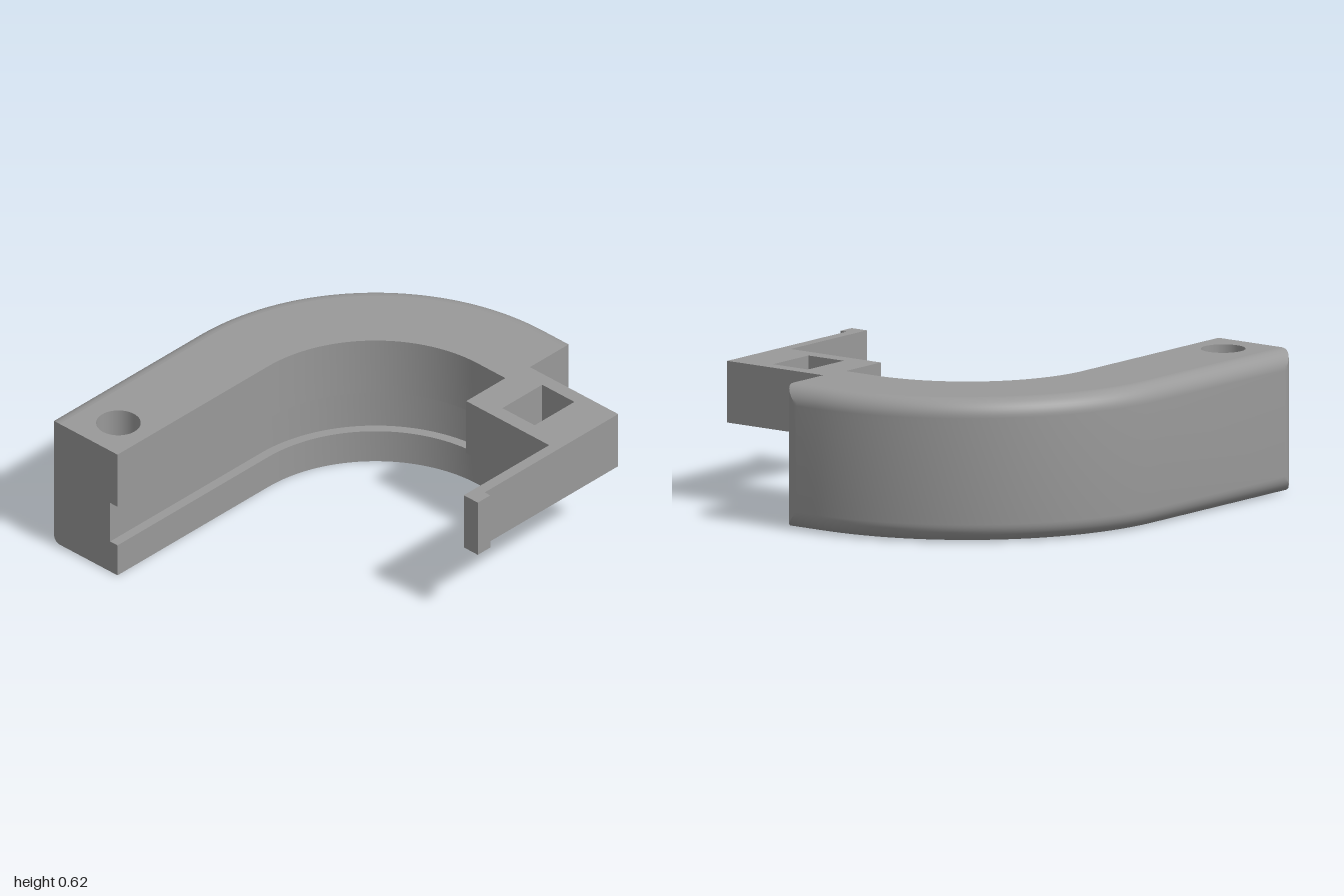
import * as THREE from 'three';
import { toCreasedNormals } from 'three/addons/utils/BufferGeometryUtils.js';

const H = 0.625, W = 0.424, F = 0.08;          // height, wall width, outer edge rounding
const CX = -0.06, CZ = 0.16, R = 0.636;        // centre and radius of the inner bend
const END_X = -1, END_Z = 0.343;               // where the two ends stop
const N = 10, BEND = 56;
const HOLE = { x: -0.82, z: -0.642, r: 0.096 };

const fillet = Array.from({ length: N + 1 }, (_, i) => {
  const a = (i / N) * Math.PI / 2;
  return [F * Math.sin(a), F * Math.cos(a)];
});

// Cross-section as [u, y]; u runs from the inner face outwards
const outer = [
  ...fillet.map(([s, c]) => [W - F + s, H - F + c]),
  ...fillet.slice().reverse().map(([s, c]) => [W - F + s, F - c]),
];
const inner = [[0, 0], [0, 0.155], [0.044, 0.155], [0.044, 0.355], [0, 0.355], [0, H]];

// Stations along the inner face: position, outward direction, and how far out the wall may reach
function makeStations() {
  const list = [];
  for (const [s, c] of fillet) list.push({ x: END_X + F - c, z: CZ - R, nx: 0, nz: -1, max: W - F + s });
  for (let i = 0; i <= BEND; i++) {
    const a = (i / BEND - 1) * Math.PI / 2, nx = Math.cos(a), nz = Math.sin(a);
    list.push({ x: CX + R * nx, z: CZ + R * nz, nx, nz, max: W });
  }
  for (const [s, c] of fillet.slice().reverse())
    list.push({ x: CX + R, z: END_Z - F + c, nx: 1, nz: 0, max: W - F + s });
  return list;
}

// Sweep an open profile along the stations
function sweep(profile, stations) {
  const pos = [];
  const u = (s, p) => Math.min(p[0], s.max);
  const point = (s, p) => [s.x + s.nx * u(s, p), p[1], s.z + s.nz * u(s, p)];
  for (let i = 0; i < stations.length - 1; i++) {
    for (let j = 0; j < profile.length - 1; j++) {
      const s = stations[i], t = stations[i + 1], p = profile[j], q = profile[j + 1];
      const a = point(s, p), b = point(s, q), c = point(t, p), d = point(t, q);
      // split each quad along the mitre
      const alongAD = Math.abs(u(s, p) - u(t, q)) > Math.abs(u(s, q) - u(t, p));
      const tris = alongAD ? [a, c, d, a, d, b] : [a, c, b, b, c, d];
      for (const v of tris) pos.push(...v);
    }
  }
  const g = new THREE.BufferGeometry();
  g.setAttribute('position', new THREE.Float32BufferAttribute(pos, 3));
  return toCreasedNormals(g, 0.4);
}

const shapeOf = (pts) => new THREE.Shape(pts.map(([x, y]) => new THREE.Vector2(x, y)));

// Flat face of the wall with the round hole; sign -1 faces up, +1 faces down
function flatFace(stations, sign) {
  const edge = (d) => stations.map((s) => [s.x + s.nx * d, sign * (s.z + s.nz * d)]);
  const shape = shapeOf([...edge(0), ...edge(W - F).reverse()]);
  shape.holes.push(new THREE.Path().absarc(HOLE.x, sign * HOLE.z, HOLE.r, 0, Math.PI * 2, true));
  return new THREE.ShapeGeometry(shape, 24).rotateX(sign * Math.PI / 2);
}

export function createModel() {
  const model = new THREE.Group();
  const grey = new THREE.MeshStandardMaterial({ color: 0x999999, side: THREE.DoubleSide });
  grey.name = 'grey';
  const add = (name, geometry, parent) => {
    const mesh = new THREE.Mesh(geometry, grey);
    mesh.name = name;
    parent.add(mesh);
    return mesh;
  };

  // Curved wall with a groove along its inner face
  const wall = new THREE.Group();
  wall.name = 'curvedWall';
  model.add(wall);
  const stations = makeStations();
  add('outerFace', sweep(outer, stations), wall);
  add('groovedInnerFace', sweep(inner, stations), wall);
  add('topFace', flatFace(stations, -1), wall).position.y = H;
  add('bottomFace', flatFace(stations, 1), wall);

  // End faces
  const section = [...inner, [W - F, H], [W - F, 0]];
  const leftEnd = shapeOf(section.map(([u, y]) => [CZ - R - u, y]));
  add('armEnd', new THREE.ShapeGeometry(leftEnd).rotateY(-Math.PI / 2), wall).position.x = END_X;
  const frontEnd = shapeOf(section.map(([u, y]) => [CX + R + u, y]));
  add('frontEnd', new THREE.ShapeGeometry(frontEnd), wall).position.z = END_Z;

  // Round hole through the arm
  const bore = new THREE.CylinderGeometry(HOLE.r, HOLE.r, H, 48, 1, true);
  add('roundHole', bore, wall).position.set(HOLE.x, H / 2, HOLE.z);

  // Bracket with a square hole and a thin hooked arm, plan drawn as [x, z]
  const plan = [
    [0.332, 0.325], [CX + R, 0.325], [CX + R, END_Z], [0.71, END_Z], [0.71, 0.867],
    [-0.122, 0.867], [-0.122, 0.9], [-0.2, 0.9], [-0.2, 0.817], [0.332, 0.817],
  ];
  const bracket = shapeOf(plan.map(([x, z]) => [x, -z]));
  const slot = [[0.4, 0.475], [0.4, 0.666], [0.648, 0.666], [0.648, 0.475]];
  bracket.holes.push(shapeOf(slot.map(([x, z]) => [x, -z])));
  const bracketGeometry = new THREE.ExtrudeGeometry(bracket, { depth: H - 0.355, bevelEnabled: false });
  add('hookedBracket', bracketGeometry.rotateX(-Math.PI / 2), model).position.y = 0.355;

  return model;
}
